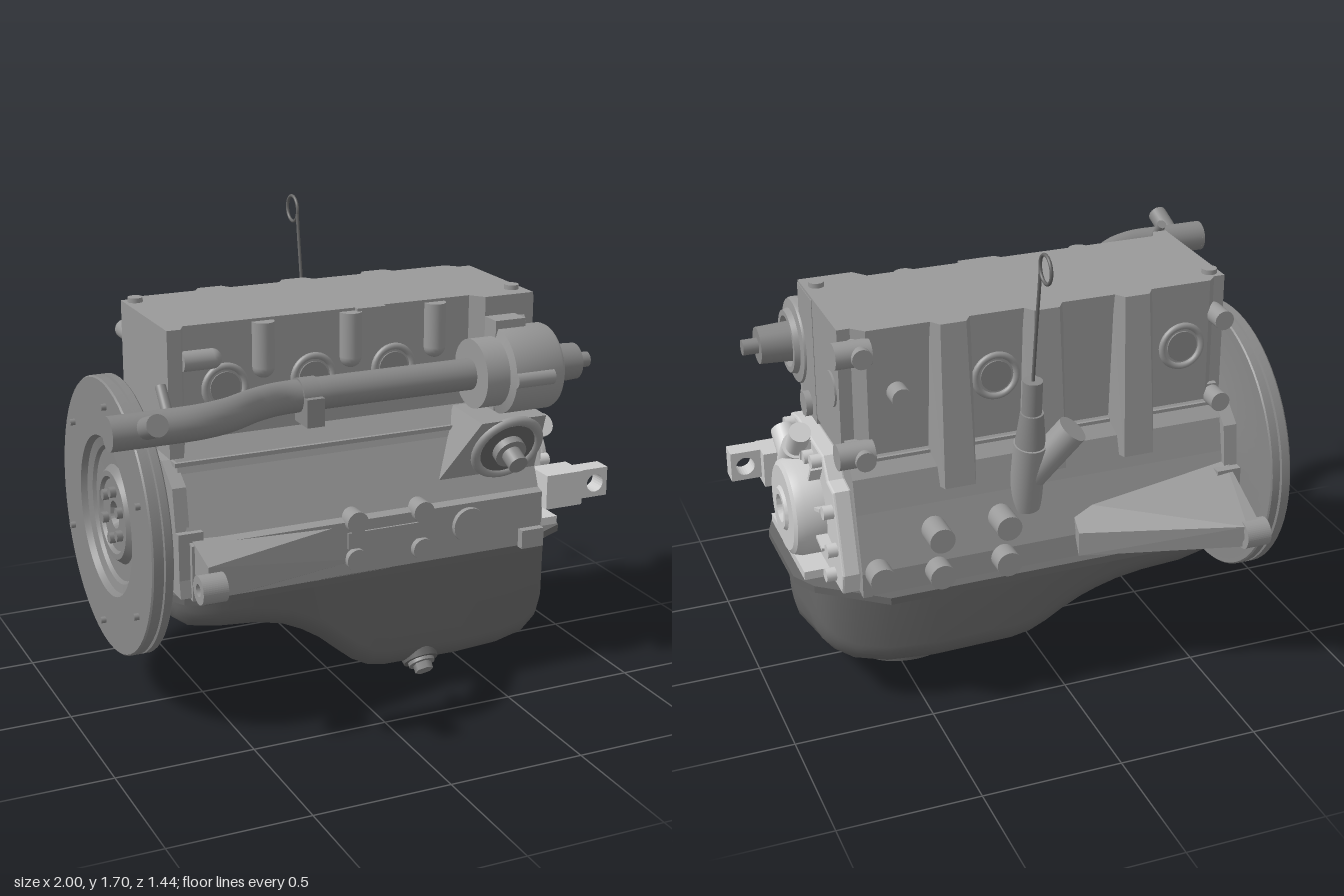
import * as THREE from 'three';
import { toCreasedNormals } from 'three/addons/utils/BufferGeometryUtils.js';
import { ConvexGeometry } from 'three/addons/geometries/ConvexGeometry.js';

const V = (p) => new THREE.Vector3(...p);
const paint = (color) => new THREE.MeshStandardMaterial({ color });

export function createModel() {
  const root = new THREE.Group();
  const iron = paint(0x999999), light = paint(0xcccccc), steel = paint(0x888888);
  const dark = paint(0x666666);
  dark.side = THREE.DoubleSide;

  const add = (name, geo, mat = iron) => {
    const m = new THREE.Mesh(geo, mat);
    m.name = name;
    root.add(m);
    return m;
  };
  const box = (name, [x0, x1], [y0, y1], [z0, z1], mat) =>
    add(name, new THREE.BoxGeometry(x1 - x0, y1 - y0, z1 - z0), mat)
      .position.set((x0 + x1) / 2, (y0 + y1) / 2, (z0 + z1) / 2);
  // cylinder or cone between two points
  const rod = (name, a, b, r, mat, r2 = r, seg = 28) => {
    const d = V(b).sub(V(a));
    const m = add(name, new THREE.CylinderGeometry(r2, r, d.length(), seg), mat);
    m.position.copy(V(a).addScaledVector(d, 0.5));
    m.quaternion.setFromUnitVectors(V([0, 1, 0]), d.normalize());
    return m;
  };
  const hull = (name, pts) => add(name, new ConvexGeometry(pts.map(V)));
  const outline = (pts) => new THREE.Shape(pts.map(([a, b]) => new THREE.Vector2(a, b)));
  // z,y section swept along x
  const alongX = (name, shape, x0, x1, mat, bevel = 0) => {
    const g = new THREE.ExtrudeGeometry(shape, { depth: x1 - x0 - 2 * bevel, curveSegments: 24,
      bevelEnabled: bevel > 0, bevelSize: bevel, bevelThickness: bevel, bevelSegments: 2 });
    return add(name, g.rotateY(-Math.PI / 2).translate(x1 - bevel, 0, 0), mat);
  };
  // x,z plan raised along y
  const alongY = (name, pts, y0, y1, mat) => add(name,
    new THREE.ExtrudeGeometry(outline(pts.map(([x, z]) => [x, -z])), { depth: y1 - y0, bevelEnabled: false })
      .rotateX(-Math.PI / 2).translate(0, y0, 0), mat);
  // profile of [radius, distance towards -x] turned about an x axis
  const turned = (name, pts, y, z, mat) => {
    const g = new THREE.LatheGeometry(pts.map((p) => new THREE.Vector2(...p)), 64);
    const m = add(name, toCreasedNormals(g.rotateZ(Math.PI / 2), 0.5), mat);
    m.position.set(0, y, z);
    return m;
  };
  const tube = (name, pts, r, mat, n = 60) =>
    add(name, new THREE.TubeGeometry(new THREE.CatmullRomCurve3(pts.map(V)), n, r, 20), mat);

  // cylinder block and crankcase
  alongX('crankcase', outline([[0.13, 1.03], [0.18, 0.965], [0.19, 0.93], [0.28, 0.72], [0.31, 0.71], [0.31, 0.51],
    [-0.46, 0.51], [-0.46, 0.6], [-0.41, 0.8], [-0.385, 0.92], [-0.33, 0.98], [-0.33, 1.03]]), -0.64, 0.725);
  alongY('cylinderBlock', [[-0.66, 0.17], [-0.61, 0.17], [-0.59, 0.13], [0.5, 0.13], [0.54, 0.18], [0.735, 0.18],
    [0.735, -0.3], [0.69, -0.3], [0.65, -0.34], [-0.59, -0.34], [-0.62, -0.31], [-0.66, -0.31]], 0.98, 1.43);
  box('gasketRail', [-0.65, 0.72], [0.955, 0.97], [-0.35, 0.19]);
  box('frontEndFace', [0.55, 0.737], [0.9, 1.42], [0, 0.18]);
  box('deckPad', [0.05, 0.16], [1.4, 1.43], [0.1, 0.15]);
  for (const [x, z] of [[-0.62, -0.27], [0.69, 0.1]]) rod('deckDowel', [x, 1.42, z], [x, 1.447, z], 0.027);

  // front wall bosses, flared rear columns and core plugs
  for (const x of [-0.3, 0.03, 0.36]) {
    rod('headBoltBoss', [x, 1.26, 0.135], [x, 1.42, 0.135], 0.04);
    add('bossTip', new THREE.SphereGeometry(0.04, 20, 12)).position.set(x, 1.26, 0.135);
    const column = [];
    for (const s of [-1, 1])
      column.push([x + s * 0.075, 1.43, -0.33], [x + s * 0.045, 1.43, -0.375], [x + s * 0.09, 0.85, -0.33],
        [x + s * 0.055, 1.05, -0.385], [x + s * 0.055, 0.85, -0.425]);
    hull('rearColumn', column);
  }
  rod('sideBoss', [-0.6, 1.31, 0.14], [-0.49, 1.31, 0.14], 0.035);
  add('sideBossTip', new THREE.SphereGeometry(0.035, 20, 12)).position.set(-0.49, 1.31, 0.14);
  const plug = (x, z) => {
    add('corePlugRim', new THREE.TorusGeometry(0.075, 0.012, 10, 36)).position.set(x, 1.2, z);
    rod('corePlug', [x, 1.2, z - 0.006], [x, 1.2, z + 0.006], 0.055, steel);
  };
  for (const x of [-0.44, -0.11, 0.2]) plug(x, 0.13);
  for (const x of [-0.49, 0.2]) plug(x, -0.34);
  rod('endPlug', [0.72, 1.185, -0.21], [0.742, 1.185, -0.21], 0.062);
  for (const [x, y] of [[0.68, 1.36], [0.68, 0.99], [-0.62, 1.3], [-0.62, 0.99], [0.55, 1.2]])
    rod('rearBolt', [x, y, -0.29], [x, y, -0.405], 0.035);
  for (const y of [1.36, 0.995]) rod('endBolt', [0.64, y, -0.345], [0.765, y, -0.345], 0.045);

  // engine mount bosses
  for (const y of [0.57, 0.71]) {
    for (const x of [-0.03, 0.23]) rod('frontMountBoss', [x, y, 0.22], [x, y, 0.335], 0.04);
    for (const x of [0.22, 0.46]) rod('rearMountBoss', [x, y, -0.4], [x, y, -0.525], 0.045);
  }
  box('frontMountRib', [-0.06, 0.26], [0.61, 0.67], [0.25, 0.318]);
  rod('rearCornerBoss', [0.67, 0.6, -0.4], [0.67, 0.6, -0.525], 0.045);
  rod('fuelPumpBoss', [0.42, 0.63, 0.25], [0.42, 0.63, 0.33], 0.065);
  box('cornerFoot', [0.63, 0.72], [0.51, 0.58], [0.25, 0.34]);

  // gussets and lugs reaching the bell housing plane
  hull('rearGusset', [[-0.65, 0.78, -0.38], [-0.65, 0.64, -0.69], [-0.65, 0.56, -0.7], [-0.65, 0.53, -0.38],
    [-0.6, 0.64, -0.69], [-0.05, 0.7, -0.4], [-0.05, 0.62, -0.49], [-0.05, 0.53, -0.49]]);
  hull('frontGusset', [[-0.63, 0.74, 0.22], [-0.63, 0.68, 0.44], [-0.63, 0.56, 0.44], [-0.63, 0.53, 0.22],
    [-0.4, 0.55, 0.37], [0, 0.7, 0.28], [0, 0.56, 0.3]]);
  for (const [y, z] of [[0.62, 0.475], [0.6, -0.67]]) {
    const lug = new THREE.Shape().absarc(z, y, 0.05, 0, Math.PI * 2);
    lug.holes.push(new THREE.Path().absarc(z, y, 0.022, 0, Math.PI * 2, true));
    alongX('housingLug', lug, -0.68, -0.59);
  }
  for (const z of [0.24, -0.42]) box('housingPad', [-0.68, -0.59], [0.56, 0.75], [z - 0.05, z + 0.05]);
  alongX('housingFlange', outline([[0.3, 0.52], [0.24, 0.9], [0.14, 0.97], [-0.34, 0.97], [-0.42, 0.9], [-0.47, 0.52]]),
    -0.68, -0.63);

  // rear seal housing and flywheel, facing -x
  turned('sealHousing', [[0, 0.6], [0.29, 0.62], [0.29, 0.69], [0.25, 0.695], [0.25, 0.715], [0.19, 0.72], [0.19, 0.74], [0, 0.74]],
    0.71, -0.1);
  turned('flywheel', [[0, 0.725], [0.2, 0.725], [0.24, 0.735], [0.495, 0.735], [0.5, 0.74], [0.5, 0.765], [0.49, 0.768],
    [0.49, 0.774], [0.5, 0.777], [0.5, 0.806], [0.495, 0.812], [0.29, 0.812], [0.28, 0.79], [0.25, 0.78], [0.24, 0.768],
    [0.18, 0.765], [0.16, 0.79], [0.14, 0.79], [0.13, 0.778], [0.05, 0.778], [0.04, 0.75], [0, 0.75]], 0.71, -0.1, steel);
  for (let i = 0; i < 6; i++) {
    const a = (i * Math.PI) / 3 + 0.4, c = Math.cos(a), s = Math.sin(a);
    rod('flywheelBolt', [-0.77, 0.71 + 0.09 * s, -0.1 + 0.09 * c], [-0.8, 0.71 + 0.09 * s, -0.1 + 0.09 * c], 0.02, steel, 0.02, 6);
    rod('clutchPin', [-0.8, 0.71 + 0.42 * s, -0.1 + 0.42 * c], [-0.83, 0.71 + 0.42 * s, -0.1 + 0.42 * c], 0.012, steel, 0.012, 12);
  }

  // oil pan lofted along x; each station is [x, bottom y, front inset, back inset]
  const stations = [[-0.66, 0.42, 0.09, 0.09], [-0.648, 0.375, 0.06, 0.06], [-0.6, 0.345, 0.02, 0.02], [-0.5, 0.333, 0, 0],
    [-0.35, 0.32, 0, 0], [-0.25, 0.297, 0, 0], [-0.17, 0.26, 0, 0], [-0.1, 0.215, 0, 0], [-0.03, 0.155, 0, 0],
    [0.03, 0.105, 0, 0], [0.09, 0.073, 0, 0], [0.16, 0.06, 0, 0], [0.45, 0.055, 0, 0], [0.62, 0.065, 0, 0.01],
    [0.73, 0.085, 0.01, 0.04], [0.79, 0.12, 0.03, 0.075], [0.82, 0.16, 0.055, 0.11], [0.835, 0.21, 0.085, 0.15],
    [0.838, 0.28, 0.11, 0.18]];
  const pos = [], idx = [], n = 20;
  stations.forEach(([x, y, insetF, insetB]) => {
    const zf = 0.23 - insetF, zb = -0.42 + insetB, depth = 0.5 - y, r = Math.min(0.09, depth * 0.6);
    for (let j = 0; j < n; j++) {
      const front = j < n / 2, k = front ? j : n - 1 - j;
      const a = (Math.max(k - 1, 0) / (n / 2 - 2)) * Math.PI / 2;
      const lift = front ? 0 : 0.1 * THREE.MathUtils.smoothstep(depth, 0.1, 0.44);
      const side = r * (1 - Math.cos(a)) + (k ? 0.006 : 0);
      pos.push(x, k ? y + lift + r * (1 - Math.sin(a)) : 0.5, front ? zf - side : zb + side);
    }
  });
  for (let i = 0; i < stations.length - 1; i++)
    for (let j = 0; j < n - 1; j++) {
      const a = i * n + j, b = a + n;
      idx.push(a, a + 1, b, a + 1, b + 1, b);
    }
  const last = (stations.length - 1) * n;
  for (let j = 1; j < n - 1; j++) idx.push(0, j + 1, j, last, last + j, last + j + 1);
  const pan = new THREE.BufferGeometry();
  pan.setAttribute('position', new THREE.Float32BufferAttribute(pos, 3));
  pan.setIndex(idx);
  add('oilPan', toCreasedNormals(pan, 0.8), dark);
  alongY('panFlange', [[-0.73, 0.15], [-0.66, 0.28], [-0.6, 0.31], [0.72, 0.31], [0.78, 0.23], [0.88, 0.18], [0.91, 0.1],
    [0.91, -0.24], [0.86, -0.33], [0.73, -0.43], [0.64, -0.5], [-0.6, -0.5], [-0.66, -0.46], [-0.73, -0.35]],
    0.488, 0.514, dark);
  rod('sumpPad', [0.5, 0.15, -0.167], [0.5, 0.1, -0.178], 0.17, dark, 0.15, 40);
  rod('drainBoss', [0.3, 0.13, 0.13], [0.3, 0.065, 0.19], 0.085, dark, 0.065);
  rod('drainWasher', [0.3, 0.07, 0.185], [0.3, 0.055, 0.2], 0.05, steel);
  rod('drainPlug', [0.3, 0.06, 0.195], [0.3, 0.035, 0.22], 0.035, steel, 0.035, 6);

  // coolant pipe with stubs and clamp
  tube('coolantPipe', [[-1, 1.23, 0.565], [-0.85, 1.23, 0.565], [-0.7, 1.23, 0.56], [-0.59, 1.222, 0.51], [-0.42, 1.19, 0.34],
    [-0.29, 1.175, 0.255], [-0.1, 1.172, 0.24], [0.5, 1.172, 0.24]], 0.057, steel, 90);
  rod('pipeEnd', [-1, 1.23, 0.565], [-0.99, 1.23, 0.565], 0.057, steel);
  rod('outletStub', [-0.885, 1.23, 0.56], [-0.885, 1.285, 0.71], 0.036, steel);
  rod('ventStub', [-0.79, 1.24, 0.55], [-0.79, 1.335, 0.47], 0.018, steel);
  rod('pipeClamp', [-0.22, 1.174, 0.245], [-0.155, 1.174, 0.245], 0.062, steel);
  box('clampTab', [-0.22, -0.155], [1.08, 1.18], [0.22, 0.33], steel);

  // water pump on the front corner: cupped housing, hub and shaft
  const pumpY = 1.175, pumpZ = 0.25;
  turned('waterPump', [[0, -0.7], [0.09, -0.7], [0.092, -0.77], [0.112, -0.77], [0.118, -0.75], [0.15, -0.745],
    [0.155, -0.735], [0.155, -0.55], [0.125, -0.54], [0.125, -0.45], [0, -0.45]], pumpY, pumpZ);
  rod('pumpHub', [0.69, pumpY, pumpZ], [0.875, pumpY, pumpZ], 0.075, steel, 0.066);
  rod('pumpShaft', [0.87, pumpY, pumpZ], [0.93, pumpY, pumpZ], 0.028, steel);
  for (const [y, z] of [[1.325, 0.165], [1.03, 0.165], [1.175, 0.39]]) rod('pumpEar', [0.55, y, z], [0.7, y, z], 0.03);
  box('pumpNeck', [0.54, 0.66], [1.03, 1.36], [0.12, 0.26]);
  rod('lowerPlug', [0.72, 1, 0.09], [0.76, 1, 0.09], 0.045);

  // oil filter seat, tilted downwards
  hull('filterPad', [[0.3, 0.73, 0.22], [0.73, 0.73, 0.22], [0.44, 1.02, 0.36], [0.7, 1.02, 0.36],
    [0.3, 0.73, 0.18], [0.73, 0.73, 0.18], [0.44, 1.03, 0.14], [0.7, 1.03, 0.14]]);
  const seat = (name, r, d0, d1, mat) =>
    rod(name, [0.575, 0.9 - 0.43 * d0, 0.3 + 0.9 * d0], [0.575, 0.9 - 0.43 * d1, 0.3 + 0.9 * d1], r, mat);
  const rim = add('filterRim', new THREE.TorusGeometry(0.125, 0.018, 12, 40));
  rim.position.set(0.575, 0.9, 0.303);
  rim.rotation.x = 0.445;
  seat('filterRecess', 0.108, -0.02, 0.01, dark);
  seat('filterStub', 0.06, 0, 0.04, steel);
  seat('filterThread', 0.036, 0, 0.1, steel);

  // timing cover on the +x end
  alongX('timingCover', outline([[0.21, 0.53], [0.2, 0.7], [0.16, 0.93], [0.08, 0.95], [-0.24, 0.95], [-0.29, 0.88], [-0.36, 0.87],
    [-0.44, 0.6], [-0.42, 0.53]]), 0.725, 0.79, light, 0.008);
  turned('coverDome', [[0, -0.88], [0.045, -0.88], [0.05, -0.91], [0.07, -0.91], [0.08, -0.9], [0.15, -0.9], [0.165, -0.89],
    [0.175, -0.86], [0.175, -0.78], [0, -0.76]], 0.71, -0.1, light);
  for (const [y, z] of [[0.92, 0.12], [0.93, -0.22], [0.8, -0.35], [0.67, -0.38], [0.56, -0.35], [0.56, 0.05], [0.62, 0.18], [0.78, 0.17], [0.9, -0.12]])
    rod('coverBolt', [0.78, y, z], [0.825, y, z], 0.024, light);
  for (let i = -3; i <= 3; i++) {
    const m = add('coverRib', new THREE.BoxGeometry(0.05, 0.09, 0.012), light), a = i * 0.6;
    m.position.set(0.805, 0.71 + 0.2 * Math.cos(a), -0.1 + 0.2 * Math.sin(a));
    m.rotation.x = a;
  }
  rod('inletNeck', [0.83, 0.82, 0.03], [0.83, 0.92, -0.06], 0.05, light);
  rod('inletHose', [0.83, 0.9, -0.045], [0.83, 1, -0.125], 0.038, light);
  rod('inletElbow', [0.83, 0.84, 0.02], [0.83, 0.9, 0.12], 0.045, light);
  box('coverFoot', [0.735, 0.88], [0.51, 0.545], [-0.28, 0.17], light);
  box('sensorBlock', [0.74, 0.89], [0.64, 0.77], [0.2, 0.32], light);
  const tab = outline([[0.87, 0.66], [1, 0.66], [1, 0.77], [0.87, 0.77]]);
  tab.holes.push(new THREE.Path().absarc(0.948, 0.713, 0.034, 0, Math.PI * 2, true));
  add('sensorBracket', new THREE.ExtrudeGeometry(tab, { depth: 0.07, bevelEnabled: false }).translate(0, 0, 0.245), light);

  // dipstick and breather on the back wall
  const dx = 0.115;
  rod('dipstickBoss', [dx, 0.72, -0.39], [dx, 0.98, -0.445], 0.058);
  rod('dipstickSleeve', [dx, 0.96, -0.44], [dx, 1.1, -0.457], 0.055, steel, 0.04);
  rod('dipstickGuide', [dx, 1.08, -0.453], [dx, 1.22, -0.465], 0.034, steel);
  tube('dipstick', [[dx, 1.2, -0.463], [dx, 1.4, -0.49], [dx, 1.6, -0.52], [dx, 1.64, -0.524]], 0.006, dark, 24);
  const ring = add('dipstickRing', new THREE.TorusGeometry(0.048, 0.006, 10, 40), dark);
  ring.position.set(dx, 1.652, -0.57);
  ring.rotation.y = Math.PI / 2;
  rod('breather', [0.1, 0.85, -0.42], [-0.02, 1.03, -0.49], 0.055);
  return root;
}
